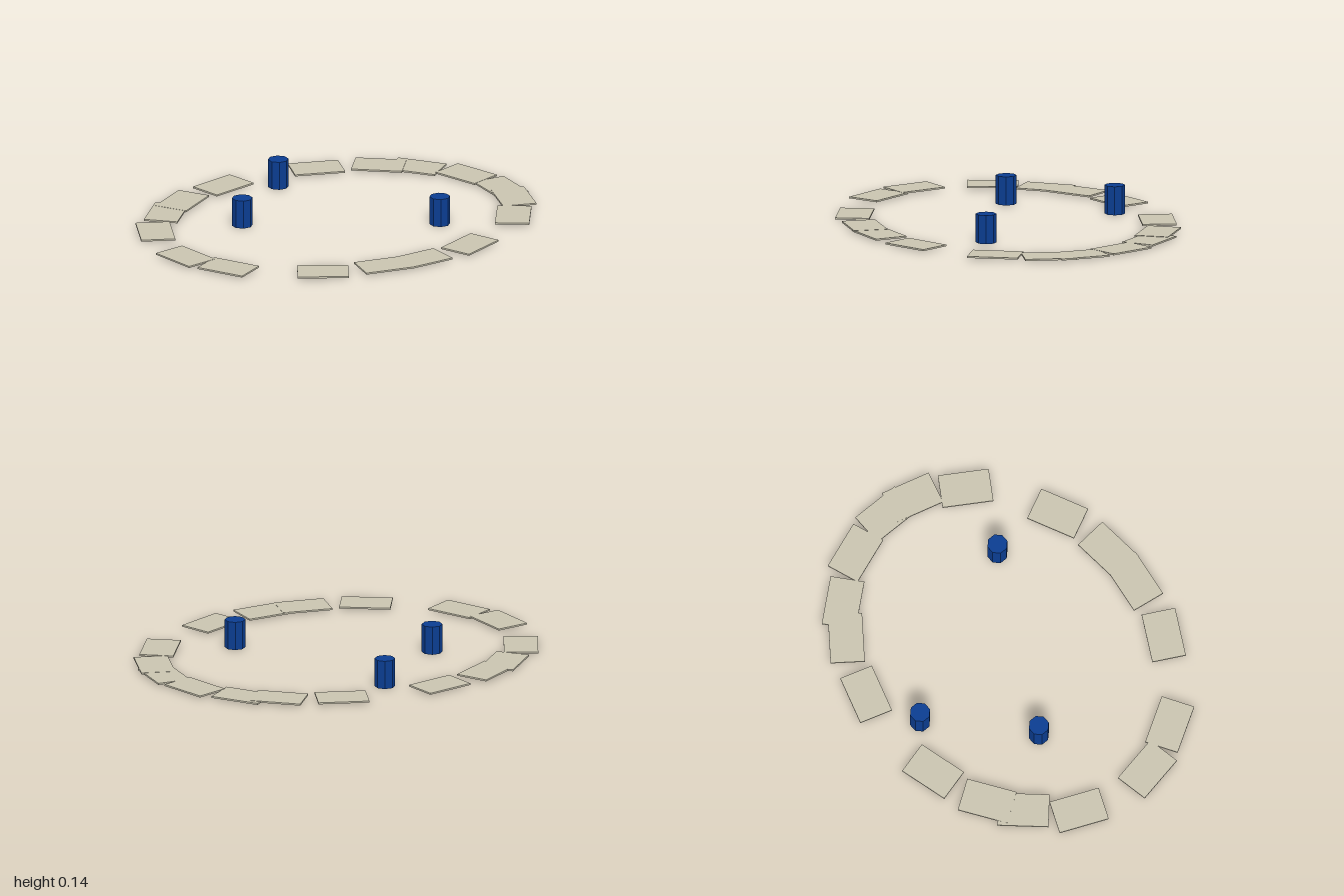
import * as THREE from 'three';

export function createModel() {
  const model = new THREE.Group();
  const stone = new THREE.MeshStandardMaterial({ color: 0xc9c4b0 });
  stone.name = 'pale stone';
  const blue = new THREE.MeshStandardMaterial({ color: 0x0b3d91 });
  blue.name = 'deep blue';

  // Thin slabs laid in an uneven oval: x, z, outward heading in degrees
  const slabs = [
    [0.917, -0.01, 0], [0.90, 0.143, 15], [0.772, 0.369, 32],
    [0.388, 0.625, 64.5], [0.086, 0.69, 85], [-0.118, 0.685, 98],
    [-0.417, 0.615, 118], [-0.786, 0.342, 149], [-0.893, 0.112, 169],
    [-0.842, -0.275, 203], [-0.668, -0.479, 222], [-0.521, -0.583, 236],
    [-0.237, -0.685, 255], [0.273, -0.677, 287], [0.554, -0.565, 307],
    [0.703, -0.46, 320], [0.86, -0.25, 340],
  ];
  const ring = new THREE.Group();
  ring.name = 'slabRing';
  const slabGeometry = new THREE.BoxGeometry(0.165, 0.008, 0.247);
  slabs.forEach(([x, z, heading], i) => {
    const slab = new THREE.Mesh(slabGeometry, stone);
    slab.name = 'slab' + (i + 1);
    // small height steps keep overlapping slabs apart
    slab.position.set(x, 0.0095 + (i % 3) * 0.001, z);
    slab.rotation.y = -THREE.MathUtils.degToRad(heading);
    ring.add(slab);
  });
  model.add(ring);

  // Eight-sided posts standing inside the ring
  const postGeometry = new THREE.CylinderGeometry(0.05, 0.05, 0.14, 8);
  postGeometry.rotateY(Math.PI / 8);
  [[0, -0.567], [-0.42, -0.173], [0.42, 0.273]].forEach(([x, z], i) => {
    const post = new THREE.Mesh(postGeometry, blue);
    post.name = 'post' + (i + 1);
    post.position.set(x, 0.07, z);
    model.add(post);
  });
  blue.flatShading = true;

  return model;
}
